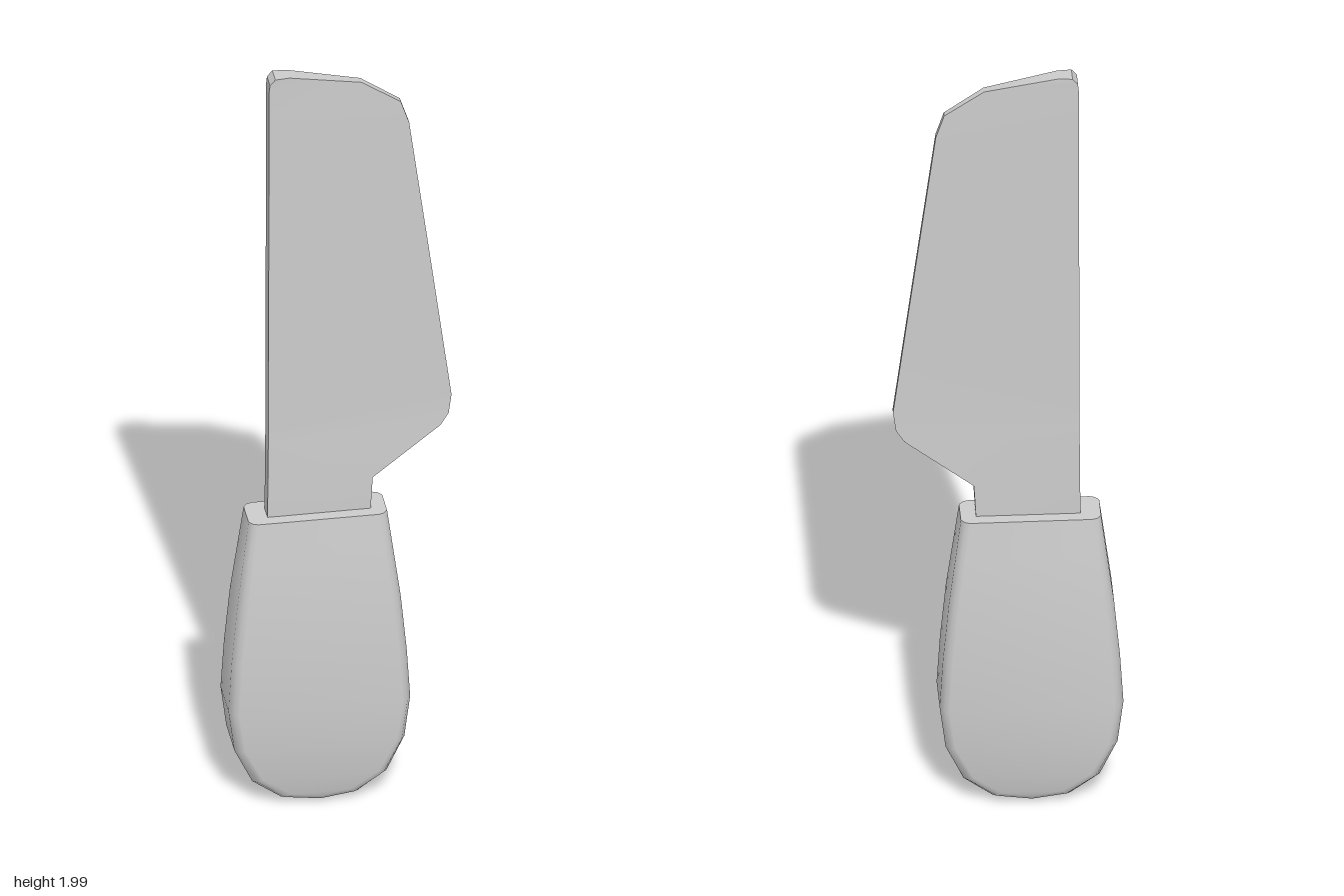
import * as THREE from 'three';
import { toCreasedNormals } from 'three/addons/utils/BufferGeometryUtils.js';

const material = new THREE.MeshStandardMaterial({ color: 0xcccccc });

// Skins closed rings (bottom to top, counter-clockwise from above) and caps both ends.
function loft(rings, crease) {
  const n = rings[0].length;
  const index = [];
  for (let i = 0; i < rings.length - 1; i++) {
    for (let j = 0; j < n; j++) {
      const a = i * n + j, b = i * n + (j + 1) % n;
      index.push(a, b, b + n, a, b + n, a + n);
    }
  }
  const top = (rings.length - 1) * n;
  for (let j = 1; j < n - 1; j++) {
    index.push(0, j + 1, j);
    index.push(top, top + j, top + j + 1);
  }
  const geometry = new THREE.BufferGeometry();
  geometry.setAttribute('position', new THREE.Float32BufferAttribute(rings.flat(2), 3));
  geometry.setIndex(index);
  return toCreasedNormals(geometry, crease);
}

// Handle: chamfered sections with a rounded butt, thinning towards the blade.
function handleGeometry() {
  const cx = -0.055;
  const rows = [ // y, half width, half depth
    [0.008, 0, 0.085], [0.02, 0.093, 0.085], [0.07, 0.162, 0.086], [0.16, 0.205, 0.086],
    [0.27, 0.219, 0.085], [0.4, 0.211, 0.082], [0.55, 0.197, 0.076], [0.68, 0.18, 0.063], [0.78, 0.167, 0.052],
  ];
  const rings = rows.map(([y, w, d]) => {
    const lift = Math.max(0, 1 - y / 0.27);
    // one corner, from the side wall to the flat face: inset, share of depth
    const corner = [[0, 0.68], [0.01, 0.92], [0.022, 1]].map(([inset, share]) =>
      [Math.max(0, w - inset), y + inset * lift, d * share]);
    const place = (points, sx, sz) => points.map(([x, py, z]) => [cx + sx * x, py, sz * z]);
    const back = [...corner].reverse();
    return [
      ...place(corner, -1, 1), ...place(back, 1, 1),
      ...place(corner, 1, -1), ...place(back, -1, -1),
    ];
  });
  return loft(rings, 0.7);
}

// Blade: thick spine on the right, tapering to a thin cutting edge on the left.
function bladeGeometry() {
  const rows = [ // y, spine x, edge x, half thickness at the edge
    [0.74, -0.175, 0.075, 0.021], [0.78, -0.174, 0.075, 0.021], [0.865, -0.173, 0.08, 0.02],
    [0.99, -0.172, 0.245, 0.012], [1.02, -0.172, 0.265, 0.009], [1.07, -0.172, 0.272, 0.008],
    [1.45, -0.171, 0.222, 0.008], [1.84, -0.17, 0.17, 0.008], [1.9, -0.17, 0.15, 0.008],
    [1.965, -0.17, 0.055, 0.01], [1.985, -0.168, -0.045, 0.015], [2.0, -0.155, -0.12, 0.019],
  ];
  const spine = 0.022;
  const rings = rows.map(([y, l, r, e]) => [[l, y, spine], [r, y, e], [r, y, -e], [l, y, -spine]]);
  return loft(rings, 0.6);
}

export function createModel() {
  const group = new THREE.Group();
  group.name = 'knife';
  const parts = { handle: handleGeometry(), blade: bladeGeometry() };
  for (const [name, geometry] of Object.entries(parts)) {
    const mesh = new THREE.Mesh(geometry, material);
    mesh.name = name;
    group.add(mesh);
  }
  return group;
}
